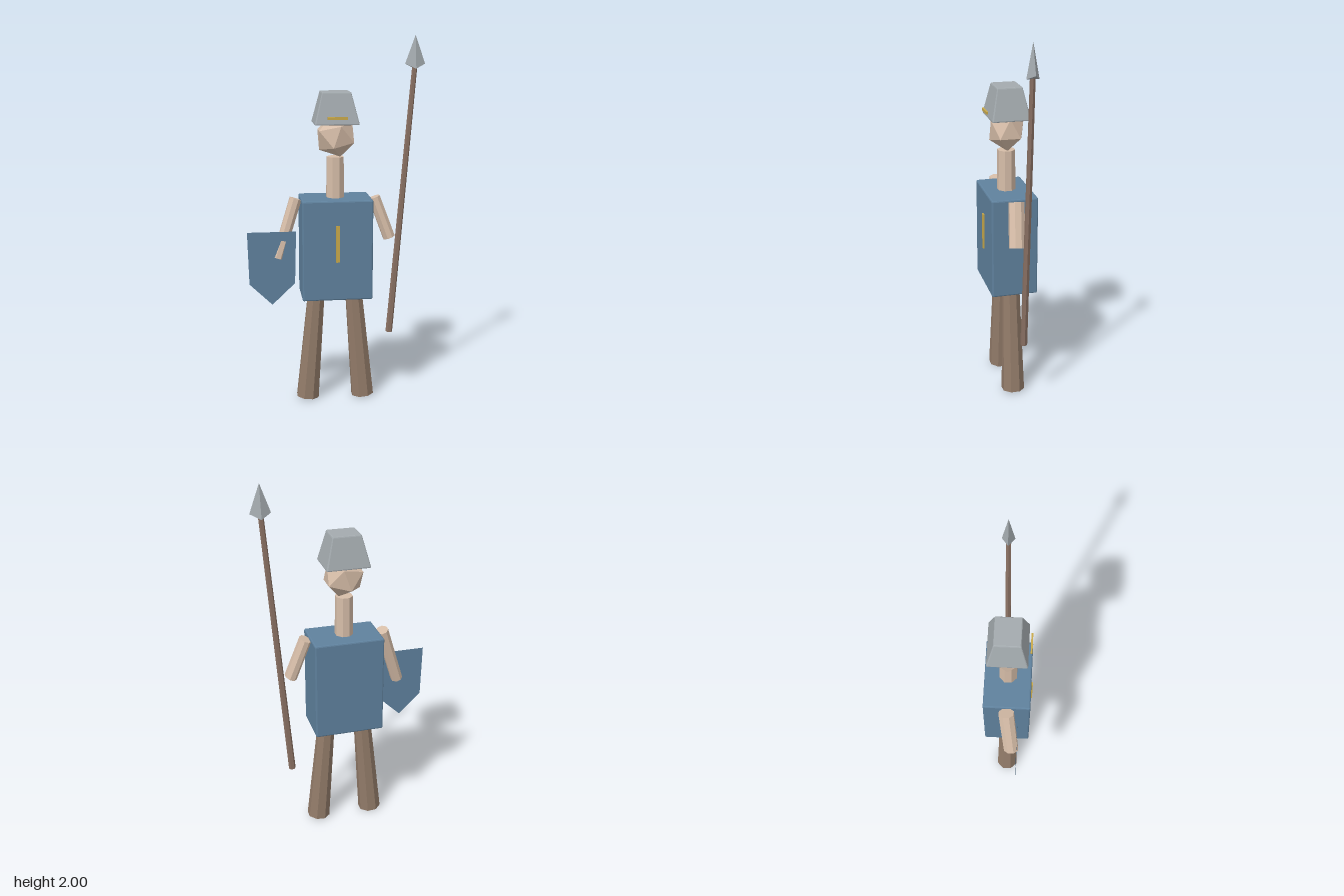
import * as THREE from 'three';
import { RoundedBoxGeometry } from 'three/addons/geometries/RoundedBoxGeometry.js';

const material = (name, color, extra = {}) => {
  const m = new THREE.MeshStandardMaterial({ color, flatShading: true, ...extra });
  m.name = name;
  return m;
};

export function createModel() {
  const model = new THREE.Group();
  model.name = 'guard';

  const blue = material('blue cloth', 0x5f819d, { side: THREE.DoubleSide });
  const skin = material('skin', 0xd6bda8);
  const brown = material('brown trousers', 0x927b69);
  const wood = material('spear wood', 0x8a7163);
  const steel = material('steel', 0xa3aaae);
  const gold = material('gold trim', 0xc9a94a);

  function add(name, geometry, mat, x = 0, y = 0, z = 0) {
    const mesh = new THREE.Mesh(geometry, mat);
    mesh.name = name;
    mesh.position.set(x, y, z);
    model.add(mesh);
    return mesh;
  }

  // Tapered faceted limb between two points, optionally oval in depth
  function limb(name, mat, from, to, rFrom, rTo, sides = 8, depth = 1) {
    const a = new THREE.Vector3(...from);
    const b = new THREE.Vector3(...to);
    const dir = a.clone().sub(b);
    const geometry = new THREE.CylinderGeometry(rFrom, rTo, dir.length(), sides);
    geometry.rotateY(Math.PI / sides).scale(1, 1, depth);
    const mesh = add(name, geometry, mat, ...a.clone().add(b).multiplyScalar(0.5).toArray());
    mesh.quaternion.setFromUnitVectors(new THREE.Vector3(0, 1, 0), dir.normalize());
    return mesh;
  }

  // Body
  add('torso', new RoundedBoxGeometry(0.38, 0.547, 0.25, 1, 0.008), blue, -0.002, 0.872, -0.003);
  add('chestStripe', new THREE.BoxGeometry(0.02, 0.2, 0.009), gold, -0.002, 0.912, 0.126);
  limb('neck', skin, [-0.003, 1.365, -0.002], [-0.003, 1.13, -0.002], 0.048, 0.05);

  // Legs, splayed outwards
  limb('leftLeg', brown, [0.097, 0.64, -0.002], [0.152, 0.006, -0.002], 0.047, 0.064);
  limb('rightLeg', brown, [-0.105, 0.64, -0.002], [-0.158, 0.006, -0.002], 0.047, 0.064);

  // Arms, slightly forward
  limb('leftArm', skin, [0.21, 1.14, -0.003], [0.292, 0.917, 0.014], 0.033, 0.034, 8, 1.3);
  limb('rightArm', skin, [-0.217, 1.14, -0.003], [-0.318, 0.822, 0.028], 0.034, 0.033, 8, 1.25);

  // Head
  const head = new THREE.IcosahedronGeometry(0.115, 0);
  head.rotateZ(-0.33).scale(1, 1, 0.9);
  add('head', head, skin, 0, 1.475, -0.002);

  // Helmet, a bevelled block narrowed towards the top
  const helmet = new RoundedBoxGeometry(0.238, 0.17, 0.207, 1, 0.007);
  const p = helmet.attributes.position;
  for (let i = 0; i < p.count; i++) {
    const t = (p.getY(i) + 0.085) / 0.17;
    const s = 1 - 0.36 * t;
    p.setX(i, p.getX(i) * s);
    p.setZ(i, p.getZ(i) * s);
  }
  helmet.computeVertexNormals();
  add('helmet', helmet, steel, -0.002, 1.626, -0.003);
  add('helmetStripe', new THREE.BoxGeometry(0.104, 0.014, 0.009), gold, -0.002, 1.579, 0.112);

  // Shield, a flat pointed plate
  const outline = [[-0.482, 0.972], [-0.474, 0.685], [-0.352, 0.567], [-0.228, 0.685], [-0.22, 0.972]];
  const shield = new THREE.Shape(outline.map(([x, y]) => new THREE.Vector2(x, y)));
  add('shield', new THREE.ShapeGeometry(shield), blue, 0, 0, 0.057);

  // Spear with a flattened four-sided head
  limb('spearShaft', wood, [0.427, 1.86, -0.022], [0.305, 0.36, -0.022], 0.014, 0.019, 6);
  const point = new THREE.ConeGeometry(0.054, 0.175, 4);
  point.scale(1, 1, 0.6);
  const q = point.attributes.position;
  for (let i = 0; i < q.count; i++) {
    if (Math.abs(q.getX(i)) > 0.02) q.setY(i, q.getY(i) + 0.025);
  }
  point.computeVertexNormals();
  add('spearHead', point, steel, 0.427, 1.9125, -0.022);

  return model;
}
